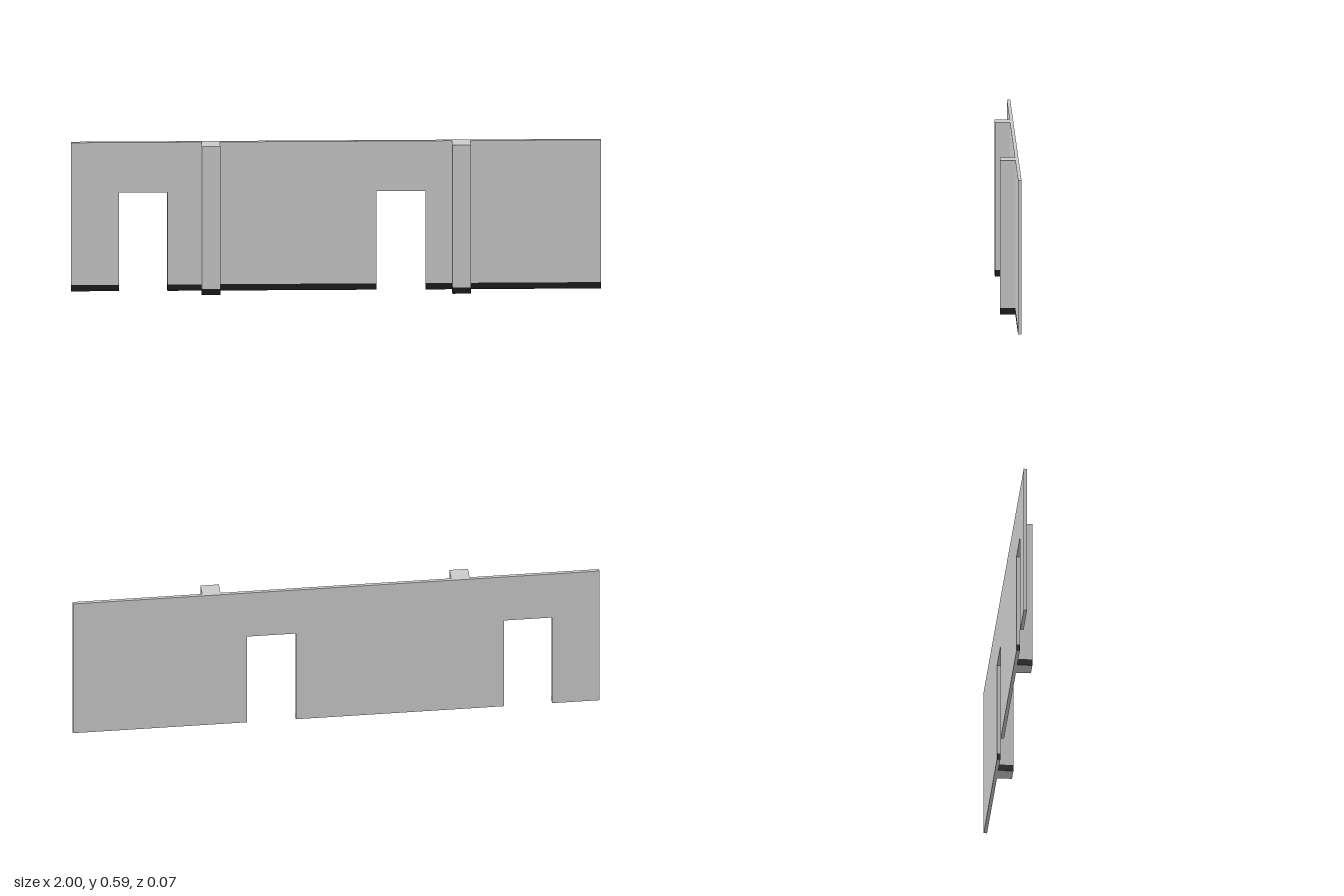
import * as THREE from 'three';

const H = 0.588, BASE = 0.025, DOOR_H = 0.39;
const BACK = -0.035, FACE = -0.022, FRONT = 0.035;
const DOORS = [[-0.82, -0.637], [0.153, 0.338]];

export function createModel() {
  const group = new THREE.Group();
  const grey = new THREE.MeshStandardMaterial({ color: 0xcccccc });
  const dark = new THREE.MeshStandardMaterial({ color: 0x1c1c1c });

  const box = (name, x0, x1, y0, y1, z0, z1, material) => {
    const mesh = new THREE.Mesh(new THREE.BoxGeometry(x1 - x0, y1 - y0, z1 - z0), material);
    mesh.position.set((x0 + x1) / 2, (y0 + y1) / 2, (z0 + z1) / 2);
    mesh.name = name;
    group.add(mesh);
  };

  // Wall panel above the skirting band, notched by the doorways
  const shape = new THREE.Shape();
  shape.moveTo(-1, BASE);
  for (const [a, b] of DOORS) {
    shape.lineTo(a, BASE);
    shape.lineTo(a, DOOR_H);
    shape.lineTo(b, DOOR_H);
    shape.lineTo(b, BASE);
  }
  shape.lineTo(1, BASE);
  shape.lineTo(1, H);
  shape.lineTo(-1, H);
  const wall = new THREE.Mesh(
    new THREE.ExtrudeGeometry(shape, { depth: FACE - BACK, bevelEnabled: false }), grey);
  wall.position.z = BACK;
  wall.name = 'wall';
  group.add(wall);

  // Skirting: dark on the front and in the doorways, grey on the back and outer ends
  const edges = [-1, ...DOORS.flat(), 1];
  for (let i = 0; i < edges.length; i += 2) {
    const right = edges[i + 1] === 1 ? grey : dark;
    const left = edges[i] === -1 ? grey : dark;
    box('wallSkirting', edges[i], edges[i + 1], 0, BASE, BACK, FACE,
      [right, left, grey, grey, dark, grey]);
  }

  // Two square pillars on the front, with dark bases
  for (const side of [-1, 1]) {
    const x0 = side * 0.473 - 0.035, x1 = side * 0.473 + 0.035;
    box('pillar', x0, x1, BASE, H, FACE, FRONT, grey);
    box('pillarSkirting', x0, x1, 0, BASE, FACE, FRONT, [dark, dark, grey, grey, dark, grey]);
  }
  return group;
}
